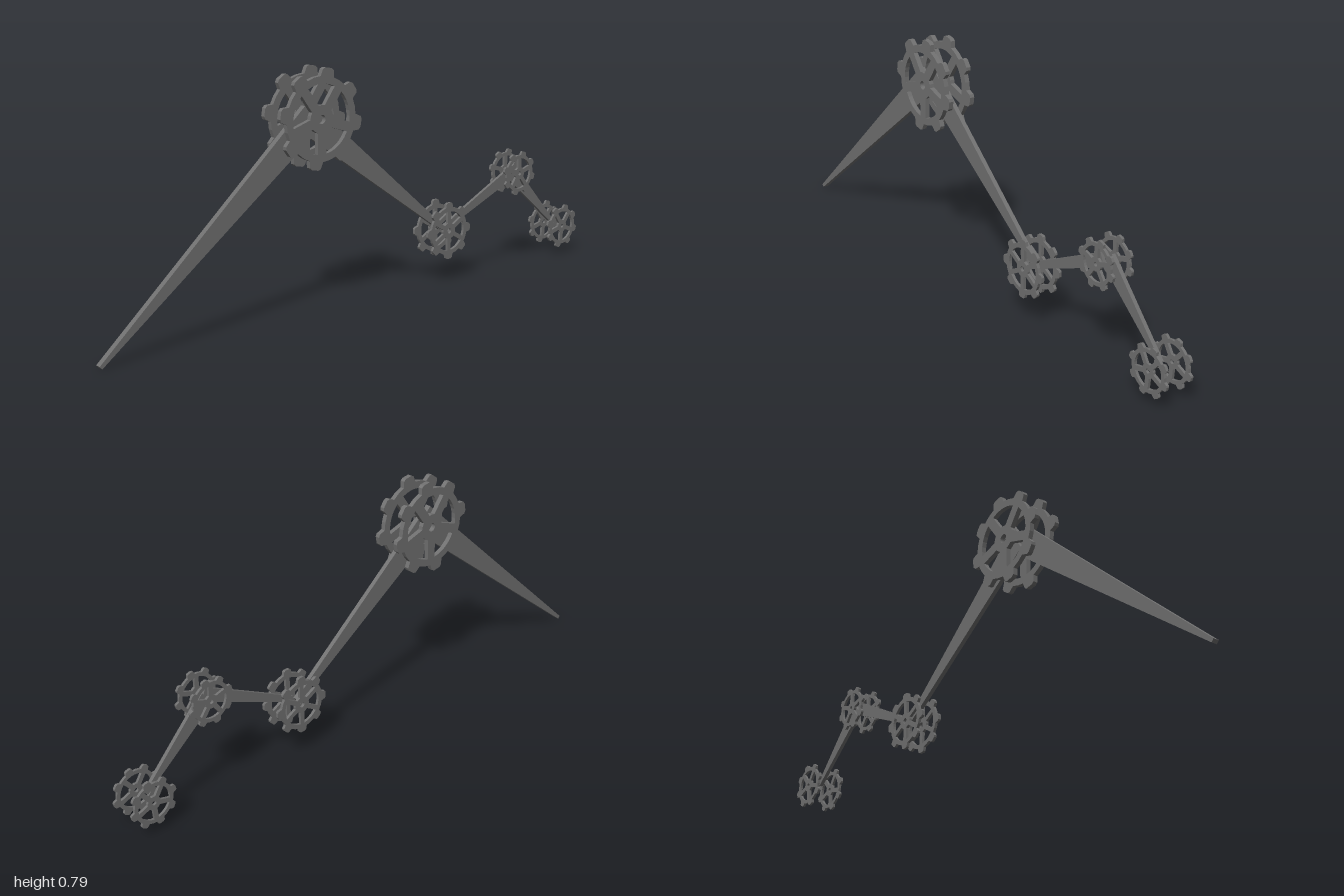
import * as THREE from 'three';

const material = new THREE.MeshStandardMaterial({ color: 0x707070, flatShading: true });
const polar = (r, a) => new THREE.Vector2(r * Math.cos(a), r * Math.sin(a));

// Extrude a side profile (first axis = -z, second = y) from x0 to x1.
function plate(name, shape, x0, x1) {
  const geometry = new THREE.ExtrudeGeometry(shape, { depth: x1 - x0, bevelEnabled: false });
  const mesh = new THREE.Mesh(geometry, material);
  mesh.name = name;
  mesh.rotation.y = Math.PI / 2;
  mesh.position.x = x0;
  return mesh;
}

// Round hole for the joint pin
function bore(x, y, radius) {
  const path = new THREE.Path();
  path.absarc(x, y, radius, 0, Math.PI * 2, true);
  return path;
}

// Toothed wheel with open windows between its spokes.
function wheelShape({ radius, spokes, spokePhase, toothPhase, spokeWidth }) {
  const teeth = 8, step = (Math.PI * 2) / teeth;
  const root = radius * 0.84, inner = radius * 0.69, hub = radius * 0.28;
  const outline = [];
  for (let i = 0; i < teeth; i++) {
    const a = toothPhase + i * step;
    outline.push(polar(root, a - 0.2), polar(radius * 0.97, a - 0.14), polar(radius, a - 0.08));
    outline.push(polar(radius, a + 0.08), polar(radius * 0.97, a + 0.14), polar(root, a + 0.2));
    outline.push(polar(root, a + step / 2));
  }
  const shape = new THREE.Shape(outline);

  const gap = (Math.PI * 2) / spokes;
  for (let i = 0; i < spokes; i++) {
    const start = spokePhase + i * gap;
    const window = [];
    const arc = (r, n, reverse) => {
      const inset = Math.asin(spokeWidth / 2 / r);
      for (let k = 0; k <= n; k++) {
        const t = reverse ? 1 - k / n : k / n;
        window.push(polar(r, start + inset + t * (gap - 2 * inset)));
      }
    };
    arc(inner, 6, false);
    arc(hub, 2, true);
    shape.holes.push(new THREE.Path(window));
  }
  shape.holes.push(bore(0, 0, radius * 0.09));
  return shape;
}

// Tapered bar between two [z, y] points with a width at each end.
function barShape([z0, y0], w0, [z1, y1], w1) {
  const a = new THREE.Vector2(-z0, y0), b = new THREE.Vector2(-z1, y1);
  const dir = b.clone().sub(a).normalize();
  const side = new THREE.Vector2(-dir.y, dir.x);
  const at = (p, s) => p.clone().addScaledVector(side, s);
  return new THREE.Shape([at(a, -w0 / 2), at(b, -w1 / 2), at(b, w1 / 2), at(a, w0 / 2)]);
}

export function createModel() {
  const model = new THREE.Group();
  model.name = 'linkedArm';
  const deg = Math.PI / 180;

  // Pairs of joint wheels, one on each side of the bars
  const joints = [
    { name: 'shoulder', z: 0.217, y: 0.63, radius: 0.16, spokes: 5, spokePhase: 54 * deg, toothPhase: 80 * deg, spokeWidth: 0.032, sides: [[-0.046, -0.03], [0.035, 0.051]] },
    { name: 'elbow', z: -0.338, y: 0.183, radius: 0.099, spokes: 6, spokePhase: 90 * deg, toothPhase: 90 * deg, spokeWidth: 0.015, sides: [[-0.03, -0.02], [0.037, 0.047]] },
    { name: 'wrist', z: -0.683, y: 0.337, radius: 0.079, spokes: 5, spokePhase: 90 * deg, toothPhase: 75 * deg, spokeWidth: 0.015, sides: [[-0.031, -0.022], [0.038, 0.047]] },
    { name: 'end', z: -0.921, y: 0.105, radius: 0.08, spokes: 5, spokePhase: 50 * deg, toothPhase: 75 * deg, spokeWidth: 0.015, sides: [[-0.052, -0.043], [0.038, 0.047]] },
  ];
  for (const joint of joints) {
    const pair = new THREE.Group();
    pair.name = joint.name + 'Wheels';
    pair.position.set(0, joint.y, joint.z);
    const shape = wheelShape(joint);
    joint.sides.forEach(([x0, x1], i) => pair.add(plate(joint.name + (i ? 'LeftWheel' : 'RightWheel'), shape, x0, x1)));
    model.add(pair);
  }

  // Tapered bars, alternating sides of the centre plane; the two widest share a pin hole
  const longBar = barShape([0.235, 0.637], 0.096, [0.997, 0.005], 0.012);
  const upperBar = barShape([0.234, 0.628], 0.094, [-0.338, 0.189], 0.02);
  model.add(plate('longBar', longBar, 0.01, 0.03));
  model.add(plate('upperBar', upperBar, -0.01, 0.005));
  model.add(plate('middleBar', barShape([-0.342, 0.188], 0.02, [-0.682, 0.343], 0.045), 0.01, 0.021));
  model.add(plate('endBar', barShape([-0.68, 0.342], 0.058, [-0.918, 0.114], 0.014), -0.01, 0.003));

  return model;
}
